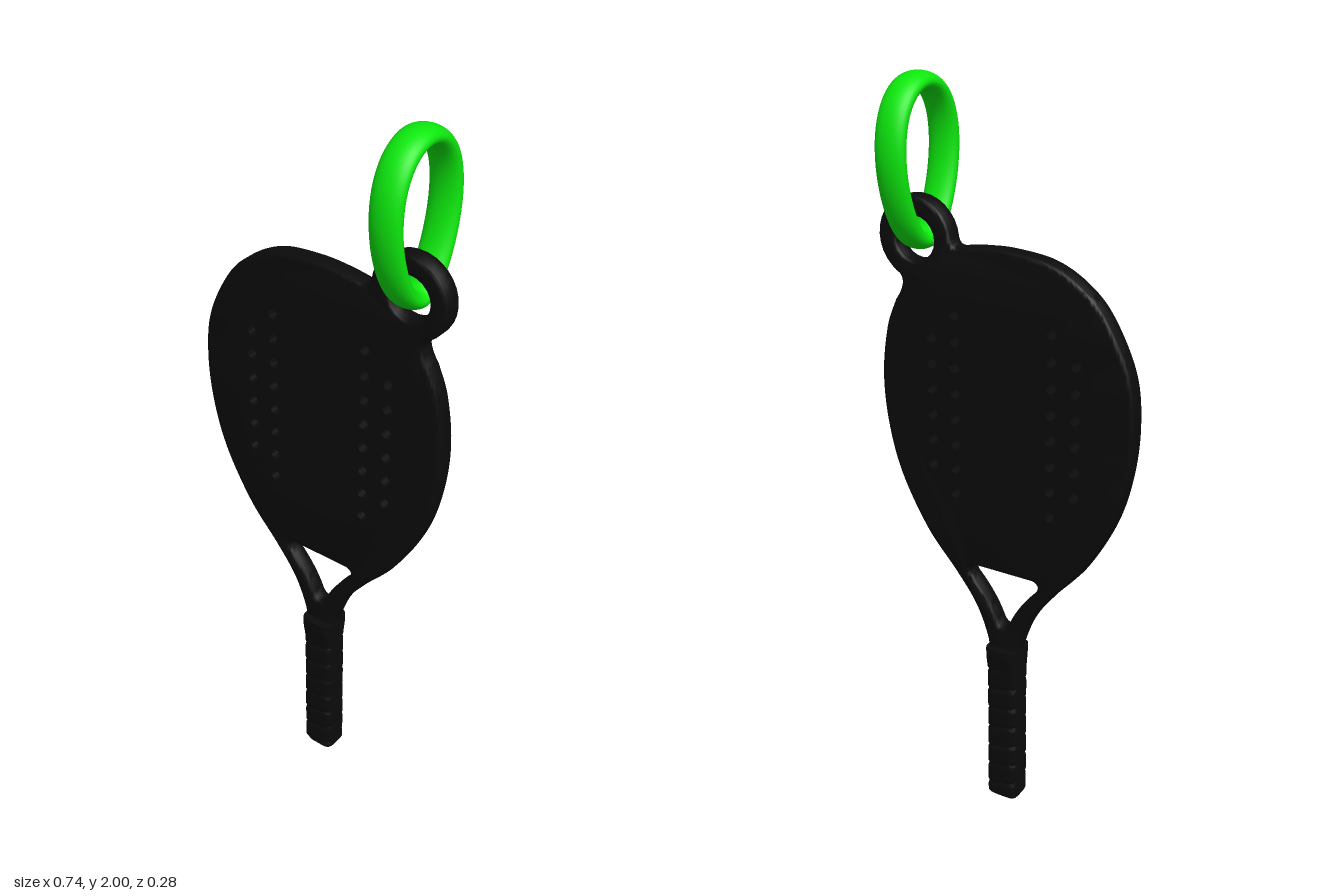
import * as THREE from 'three';
import { toCreasedNormals } from 'three/addons/utils/BufferGeometryUtils.js';

const BLACK = new THREE.MeshStandardMaterial({ color: 0x0b0b0b });
const GREEN = new THREE.MeshStandardMaterial({ color: 0x0de80d });

// Skin a grid of points: columns always wrap round, rows wrap when closed
function loft(rows, cols, closed, point) {
  const pos = [], idx = [];
  for (let i = 0; i < rows; i++)
    for (let j = 0; j < cols; j++) pos.push(...point(i, j));
  for (let i = 0; i < (closed ? rows : rows - 1); i++)
    for (let j = 0; j < cols; j++) {
      const i2 = (i + 1) % rows, j2 = (j + 1) % cols;
      const a = i * cols + j, b = i * cols + j2, c = i2 * cols + j2, d = i2 * cols + j;
      idx.push(a, d, c, a, c, b);
    }
  const g = new THREE.BufferGeometry();
  g.setAttribute('position', new THREE.Float32BufferAttribute(pos, 3));
  g.setIndex(idx);
  g.computeVertexNormals();
  return g;
}

const v2 = (x, y) => new THREE.Vector2(x, y);
const mesh = (name, geo, mat) => {
  const m = new THREE.Mesh(geo, mat);
  m.name = name;
  return m;
};

// Racket face, throat and hanging eye cut from one rounded plate
function paddleGeometry() {
  const eye = v2(0.26, 1.59), R = 0.11, holeR = 0.0145, bevel = 0.014;
  const side = [[0.04, 0.3], [0.045, 0.46], [0.055, 0.52], [0.09, 0.6], [0.15, 0.68], [0.24, 0.785],
    [0.32, 0.93], [0.36, 1.07], [0.372, 1.21], [0.355, 1.34], [0.325, 1.42]];
  const s = new THREE.Shape();
  s.moveTo(...side[0]);
  s.splineThru(side.slice(1).map(p => v2(...p)));
  s.quadraticCurveTo(0.285, 1.477, 0.315, 1.495);
  s.absarc(eye.x, eye.y, R, -Math.PI / 3, Math.PI * 0.97, false);
  s.quadraticCurveTo(0.145, 1.578, 0.118, 1.586);
  s.splineThru([v2(0.06, 1.594), v2(-0.02, 1.597), v2(-0.13, 1.584), v2(-0.22, 1.54),
    v2(-0.29, 1.47), ...side.slice(0, -1).reverse().map(p => v2(-p[0], p[1]))]);

  // Eye opening
  s.holes.push(new THREE.Path().absarc(eye.x, eye.y, 0.057, 0, Math.PI * 2, true));

  // Throat opening with rounded corners
  const t = new THREE.Path();
  t.moveTo(-0.09, 0.712);
  t.lineTo(0.09, 0.712);
  t.quadraticCurveTo(0.115, 0.705, 0.098, 0.68);
  t.quadraticCurveTo(0.04, 0.62, 0.014, 0.555);
  t.quadraticCurveTo(0, 0.538, -0.014, 0.555);
  t.quadraticCurveTo(-0.04, 0.62, -0.098, 0.68);
  t.quadraticCurveTo(-0.115, 0.705, -0.09, 0.712);
  s.holes.push(t);

  // Drilled rows on both halves of the face
  const drills = [];
  for (const sx of [-1, 1])
    for (let k = 0; k < 8; k++) {
      const y = 1.41 - k * 0.0705;
      drills.push(v2(sx * 0.142, y));
      if (k > 0 && k < 7) drills.push(v2(sx * 0.212, y));
    }
  for (const d of drills)
    s.holes.push(new THREE.Path().absarc(d.x, d.y, holeR, 0, Math.PI * 2, true));

  const g = new THREE.ExtrudeGeometry(s, {
    depth: 0.026, bevelEnabled: true, bevelThickness: bevel, bevelSize: bevel,
    bevelOffset: -bevel, bevelSegments: 4, curveSegments: 10,
  });
  g.translate(0, 0, -0.013);

  // Keep the drilled holes straight-walled
  const p = g.attributes.position;
  for (let i = 0; i < p.count; i++)
    for (const d of drills) {
      const dx = p.getX(i) - d.x, dy = p.getY(i) - d.y, r = Math.hypot(dx, dy);
      if (r < 0.032) p.setXY(i, d.x + dx / r * holeR, d.y + dy / r * holeR);
    }
  return toCreasedNormals(g, 0.7);
}

// Grip with a spiral tape wrap, a rounded butt and a collar at the top
function gripGeometry() {
  const rows = 150, cols = 40, pitch = 0.062, H = 0.484;
  return toCreasedNormals(loft(rows, cols, false, (i, j) => {
    const a = j / cols * Math.PI * 2, ca = Math.cos(a), sa = Math.sin(a);
    const k = Math.pow(Math.pow(Math.abs(ca), 5) + Math.pow(Math.abs(sa), 5), -1 / 5);
    const y = H * THREE.MathUtils.clamp((i - 1) / (rows - 3), 0, 1);
    const closing = i === 0 || i === rows - 1 ? 0 : 1;
    const collar = THREE.MathUtils.smoothstep(y, 0.4, 0.47);
    const f = (y / pitch + j / cols) % 1;
    const groove = y < 0.42 ? 0.005 * Math.max(0, 1 - Math.abs(f - 0.5) / 0.13) : 0;
    const butt = y < 0.015 ? 0.012 * (1 - Math.sqrt(1 - (1 - y / 0.015) ** 2)) : 0;
    const hx = 0.047 - groove * 0.5 - butt, hz = 0.039 + collar * 0.01 - groove - butt;
    return [closing * hx * k * ca, y, closing * hz * k * sa];
  }), 0.8);
}

// Egg-shaped clip with a flattened oval section, hung through the eye
function clipGeometry() {
  const rows = 72, cols = 24, k = 0.2;
  return loft(rows, cols, true, (i, j) => {
    const u = i / rows * Math.PI * 2, v = j / cols * Math.PI * 2;
    const z = 0.113 * Math.cos(u) * (1 + k * Math.sin(u)), y = 1.78 + 0.196 * Math.sin(u);
    const dz = 0.113 * (-Math.sin(u) + k * Math.cos(2 * u)), dy = 0.196 * Math.cos(u);
    const len = Math.hypot(dz, dy), r = 0.024 * Math.cos(v);
    return [0.257 - 0.0435 * Math.sin(v), y - dz / len * r, z + dy / len * r];
  });
}

export function createModel() {
  const group = new THREE.Group();
  group.name = 'paddleKeychain';
  group.add(
    mesh('paddle', paddleGeometry(), BLACK),
    mesh('grip', gripGeometry(), BLACK),
    mesh('clipRing', clipGeometry(), GREEN),
  );
  return group;
}
